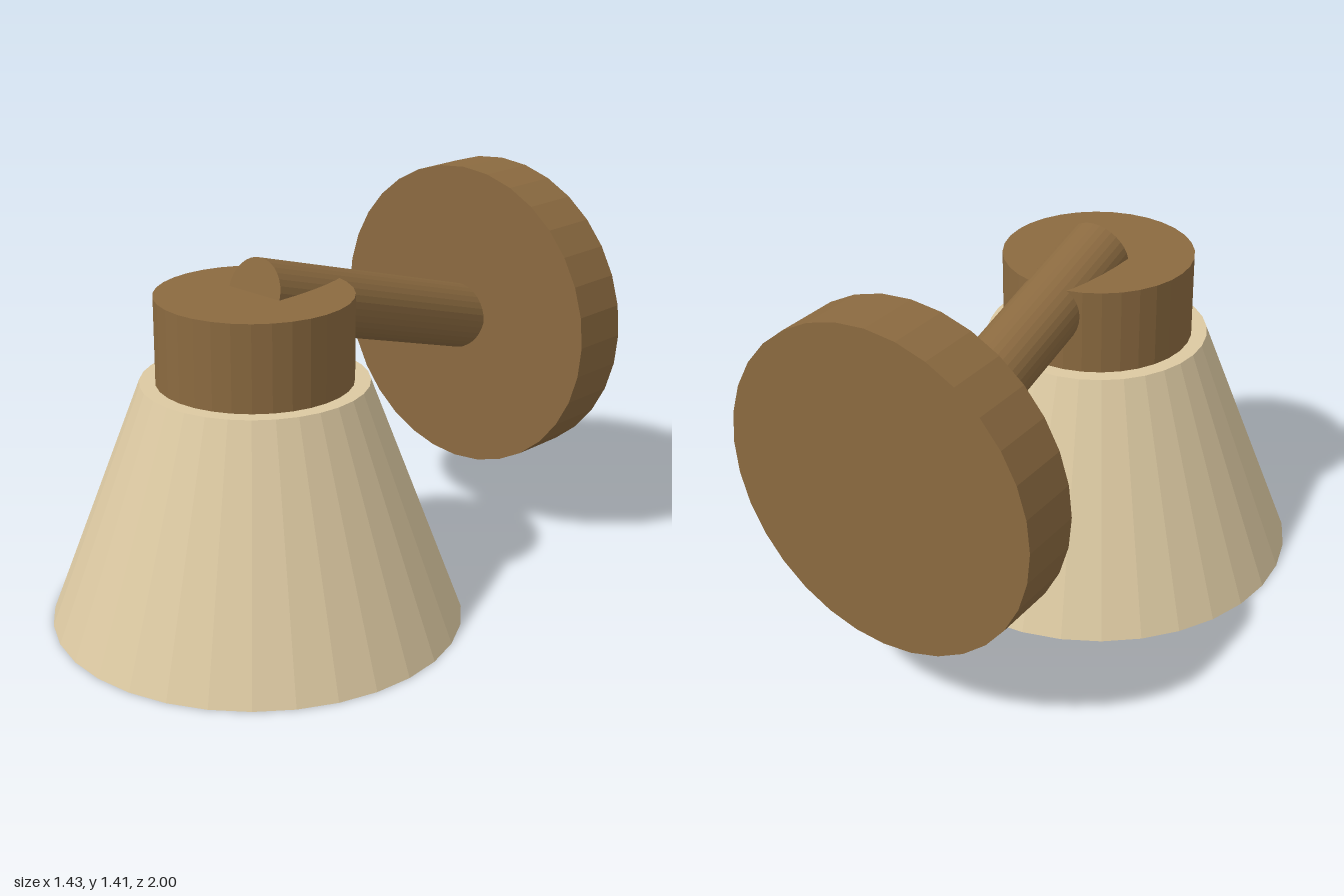
import * as THREE from 'three';

const SIDES = 32;
const SHADE_Z = 0.283;
const PLATE_Y = 0.842;

export function createModel() {
  const group = new THREE.Group();
  const bronze = new THREE.MeshStandardMaterial({ color: 0x8b6a40 });
  bronze.name = 'bronze';
  const cream = new THREE.MeshStandardMaterial({ color: 0xdcc9a2 });
  cream.name = 'cream';

  // Faceted closed cylinder or cone
  function drum(name, topRadius, bottomRadius, height, material) {
    const geometry = new THREE.CylinderGeometry(topRadius, bottomRadius, height, SIDES).toNonIndexed();
    geometry.computeVertexNormals();
    const mesh = new THREE.Mesh(geometry, material);
    mesh.name = name;
    group.add(mesh);
    return mesh;
  }

  // Tapered shade and the holder on top of it
  drum('shade', 0.39, 0.717, 0.855, cream).position.set(0, 0.4275, SHADE_Z);
  drum('lampHolder', 0.336, 0.336, 0.3, bronze).position.set(0, 1.005, SHADE_Z);

  // Round wall plate at the back
  const plate = drum('wallPlate', 0.569, 0.569, 0.223, bronze);
  plate.rotation.x = Math.PI / 2;
  plate.position.set(0, PLATE_Y, -0.8885);

  // Sloping arm from the plate to the top of the holder
  const start = new THREE.Vector3(0, PLATE_Y, -0.777);
  const end = new THREE.Vector3(0, 1.155, SHADE_Z);
  const direction = end.clone().sub(start);
  const arm = drum('arm', 0.12, 0.12, direction.length(), bronze);
  arm.position.copy(start).add(end).multiplyScalar(0.5);
  arm.quaternion.setFromUnitVectors(new THREE.Vector3(0, 1, 0), direction.normalize());

  return group;
}
